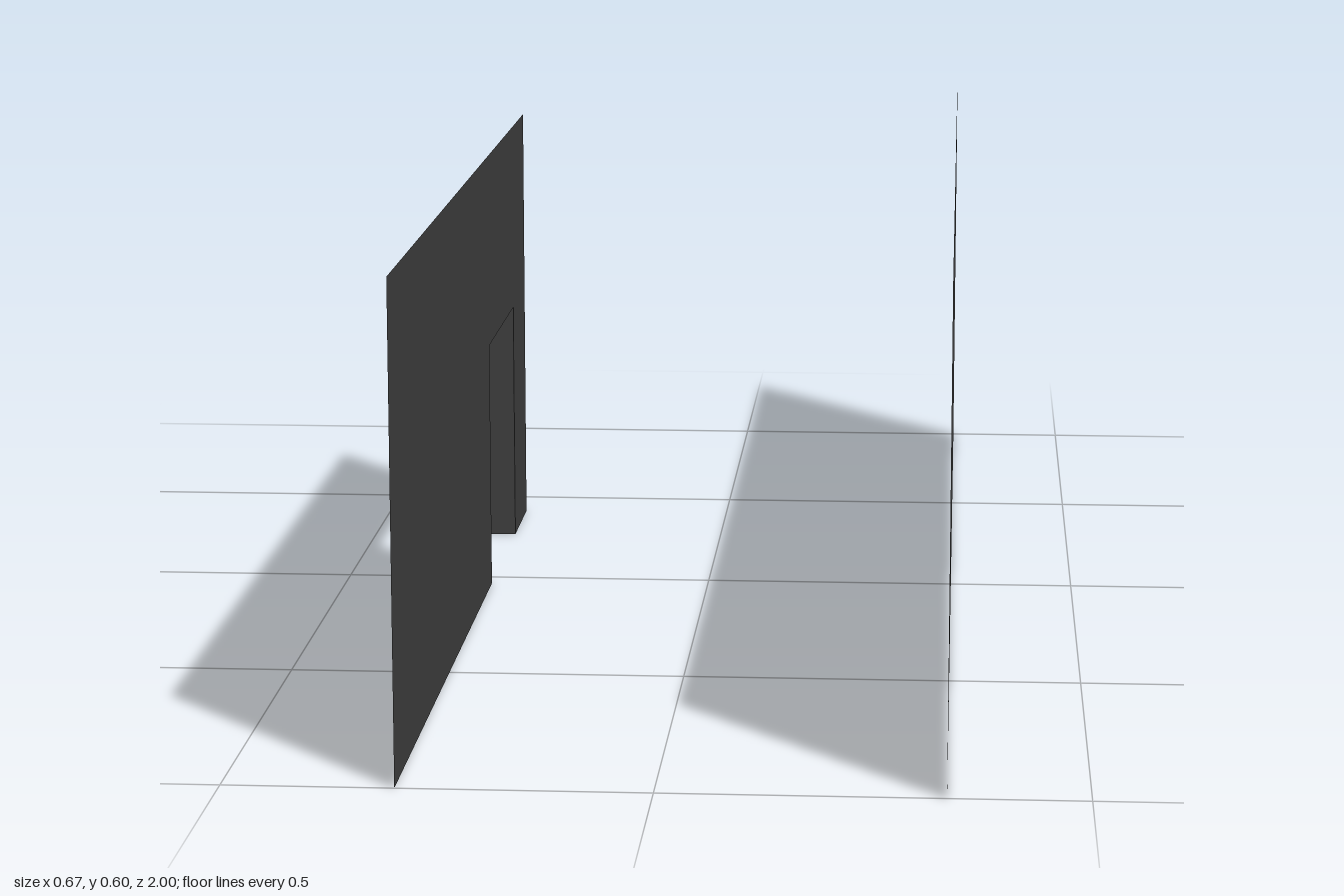
import * as THREE from 'three';

const HEIGHT = 0.595;      // wall height
const LONG_X = 0.335;      // plane of the long wall
const DOOR_X = -0.298;     // plane of the wall with the doorway
const REVEAL = 0.037;      // depth of the door jambs
const DOOR = { z0: -0.257, z1: 0.036, top: 0.335 };

export function createModel() {
  const model = new THREE.Group();
  model.name = 'corridorWalls';

  const charcoal = new THREE.MeshStandardMaterial({ color: 0x404040, side: THREE.DoubleSide });
  charcoal.name = 'charcoal';

  const add = (name, geometry, x, y, z) => {
    const mesh = new THREE.Mesh(geometry, charcoal);
    mesh.name = name;
    mesh.position.set(x, y, z);
    model.add(mesh);
  };

  // Long plain wall, a single sheet
  add('longWall', new THREE.PlaneGeometry(2, HEIGHT).rotateY(Math.PI / 2), LONG_X, HEIGHT / 2, 0);

  // Shorter wall, outlined in (z, y) around a doorway open to the floor
  const outline = new THREE.Shape([
    [-0.407, 0], [DOOR.z0, 0], [DOOR.z0, DOOR.top], [DOOR.z1, DOOR.top],
    [DOOR.z1, 0], [1, 0], [1, HEIGHT], [-0.407, HEIGHT],
  ].map(([z, y]) => new THREE.Vector2(z, y)));
  add('doorWall', new THREE.ShapeGeometry(outline).rotateY(-Math.PI / 2), DOOR_X, 0, 0);

  // Jambs reaching outward from both sides of the doorway
  for (const [name, z] of [['backJamb', DOOR.z0], ['frontJamb', DOOR.z1]]) {
    add(name, new THREE.PlaneGeometry(REVEAL, DOOR.top), DOOR_X - REVEAL / 2, DOOR.top / 2, z);
  }

  return model;
}
